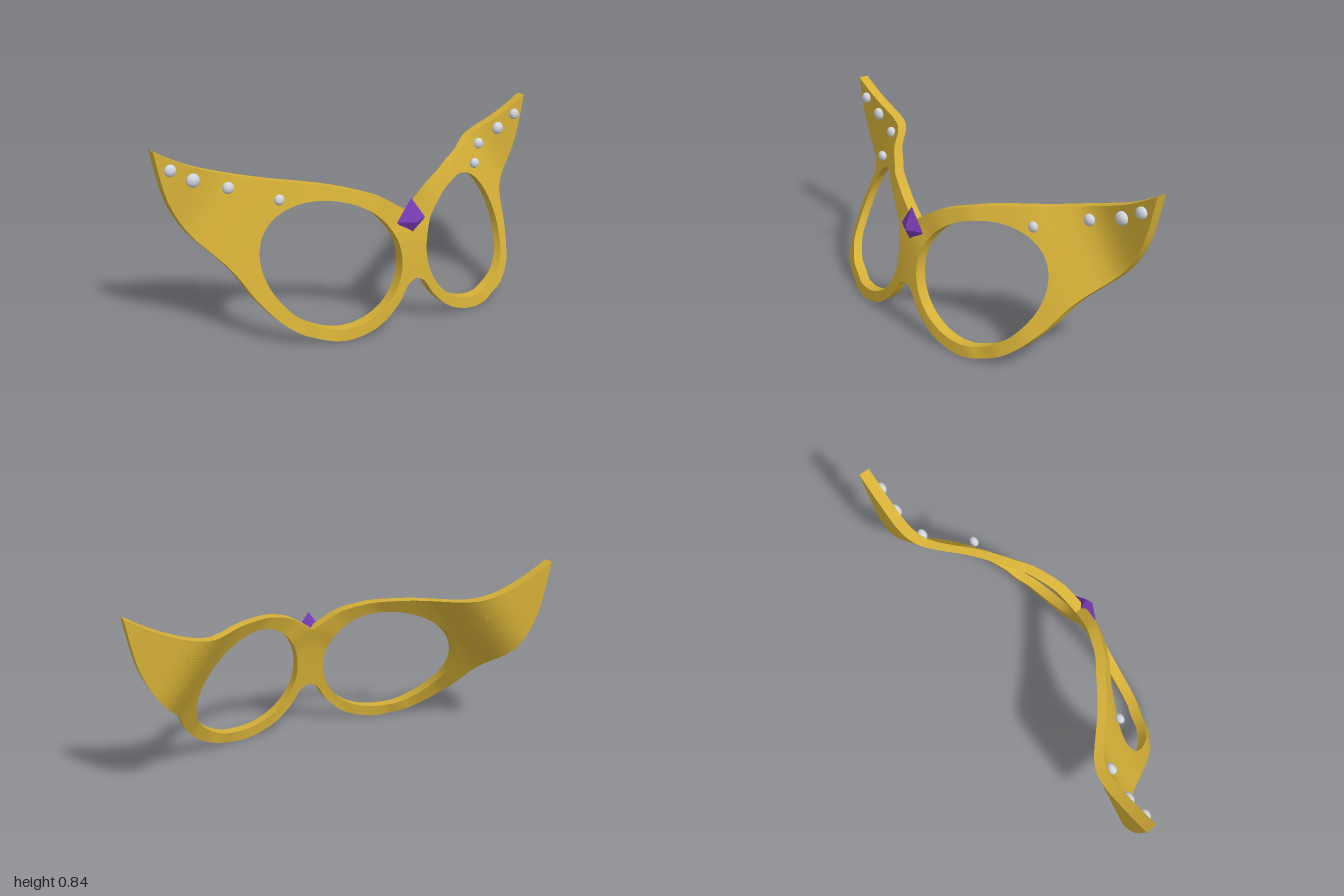
import * as THREE from 'three';
import { toCreasedNormals } from 'three/addons/utils/BufferGeometryUtils.js';

const gold = new THREE.MeshStandardMaterial({ color: 0xd4af37 });
gold.name = 'gold';
const violet = new THREE.MeshStandardMaterial({ color: 0x7a3db8 });
violet.name = 'violet';
const pearl = new THREE.MeshStandardMaterial({ color: 0xd0d4dc });
pearl.name = 'pearl';

const EYE = { x: 0.353, y: 0.325, rx: 0.287, ry: 0.27 };
const HALF_THICKNESS = 0.025;

const spline = (pts, n) => new THREE.SplineCurve(pts.map(p => new THREE.Vector2(...p))).getSpacedPoints(n);

// Depth of the mask: flat over the nose, sweeping back towards the upper corners
const BEND = [
  [0, 0.25], [0.25, 0.25], [0.3, 0.245], [0.45, 0.215], [0.52, 0.188], [0.6, 0.165],
  [0.67, 0.135], [0.75, 0.095], [0.82, 0.045], [0.9, -0.012], [0.97, -0.068], [1.03, -0.125],
  [1.1, -0.187], [1.16, -0.222], [1.24, -0.242], [1.4, -0.247], [2, -0.248],
];
function bend(x, y) {
  const u = Math.hypot(x, 0.15) + 0.71 * y;
  let i = 0;
  while (i < BEND.length - 2 && u > BEND[i + 1][0]) i++;
  const slope = k => {
    const a = BEND[Math.max(k - 1, 0)], b = BEND[Math.min(k + 1, BEND.length - 1)];
    return (b[1] - a[1]) / (b[0] - a[0]);
  };
  const [u0, z0] = BEND[i], [u1, z1] = BEND[i + 1];
  const h = u1 - u0, t = (u - u0) / h, t2 = t * t, t3 = t2 * t;
  return z0 * (2 * t3 - 3 * t2 + 1) + z1 * (3 * t2 - 2 * t3)
    + h * (slope(i) * (t3 - 2 * t2 + t) + slope(i + 1) * (t3 - t2));
}

// Outline of one half, counter-clockwise from the nose arch
function halfOutline() {
  const lower = spline([
    [0, 0.225], [0.045, 0.2], [0.1, 0.12], [0.2, 0.04], [0.35, 0.003], [0.5, 0.035], [0.6, 0.095],
    [0.68, 0.19], [0.75, 0.32], [0.87, 0.465], [0.95, 0.62], [1, 0.84],
  ], 90);
  const upper = spline([
    [1, 0.84], [0.88, 0.772], [0.75, 0.718], [0.6, 0.68], [0.4, 0.663], [0.27, 0.643],
    [0.14, 0.603], [0.06, 0.555], [0, 0.515],
  ], 70);
  const middle = new THREE.LineCurve(new THREE.Vector2(0, 0.515), new THREE.Vector2(0, 0.225)).getPoints(16);
  return [...lower, ...upper.slice(1), ...middle.slice(1, -1)];
}

// Half mask: closed cross-sections running from the eye hole to the outline
function halfMask(side) {
  const outline = halfOutline();
  const steps = 14, positions = [], index = [];
  const rows = [];
  for (let i = 0; i <= steps; i++) rows.push([i / steps, 1]);
  for (let i = steps; i >= 0; i--) rows.push([i / steps, -1]);
  for (const p of outline) {
    const dx = p.x - EYE.x, dy = p.y - EYE.y, len = Math.hypot(dx, dy);
    const r = 1 / Math.hypot(dx / len / EYE.rx, dy / len / EYE.ry);
    for (const [s, face] of rows) {
      const d = (r + (len - r) * s) / len;
      const x = EYE.x + dx * d, y = EYE.y + dy * d;
      positions.push(side * x, y, bend(x, y) + face * HALF_THICKNESS);
    }
  }
  const m = rows.length, n = outline.length;
  for (let j = 0; j < n; j++) {
    for (let i = 0; i < m; i++) {
      const a = j * m + i, b = j * m + (i + 1) % m;
      const k = (j + 1) % n, c = k * m + (i + 1) % m, d = k * m + i;
      if (side > 0) index.push(a, b, c, a, c, d);
      else index.push(a, c, b, a, d, c);
    }
  }
  const geometry = new THREE.BufferGeometry();
  geometry.setAttribute('position', new THREE.Float32BufferAttribute(positions, 3));
  geometry.setIndex(index);
  return toCreasedNormals(geometry, 0.7);
}

// Four-sided gem with a taller upper point
function makeGem() {
  const gem = new THREE.Group();
  gem.name = 'browGem';
  const girdle = 0.483;
  for (const [name, height, dir] of [['gemTop', 0.102, 1], ['gemBottom', 0.078, -1]]) {
    const geometry = new THREE.ConeGeometry(1, height, 4, 1, true).toNonIndexed();
    if (dir < 0) geometry.rotateX(Math.PI);
    geometry.scale(0.075, 1, 0.04);
    geometry.computeVertexNormals();
    const mesh = new THREE.Mesh(geometry, violet);
    mesh.name = name;
    mesh.position.set(0, girdle + dir * height / 2, 0.223);
    gem.add(mesh);
  }
  return gem;
}

export function createModel() {
  const model = new THREE.Group();
  model.name = 'catEyeMask';

  // Beads along each wing: x, y, z, radius
  const beads = [
    [0.527, 0.605, -0.01, 0.024],
    [0.683, 0.641, -0.183, 0.027],
    [0.83, 0.69, -0.217, 0.031],
    [0.932, 0.75, -0.215, 0.027],
  ];
  for (const side of [1, -1]) {
    const label = side > 0 ? 'left' : 'right';
    const mask = new THREE.Mesh(halfMask(side), gold);
    mask.name = `${label}MaskHalf`;
    model.add(mask);
    beads.forEach(([x, y, z, r], i) => {
      const bead = new THREE.Mesh(new THREE.SphereGeometry(r, 20, 14), pearl);
      bead.name = `${label}Bead${i + 1}`;
      bead.position.set(side * x, y, z);
      bead.scale.z = 0.75;
      model.add(bead);
    });
  }

  model.add(makeGem());
  return model;
}
